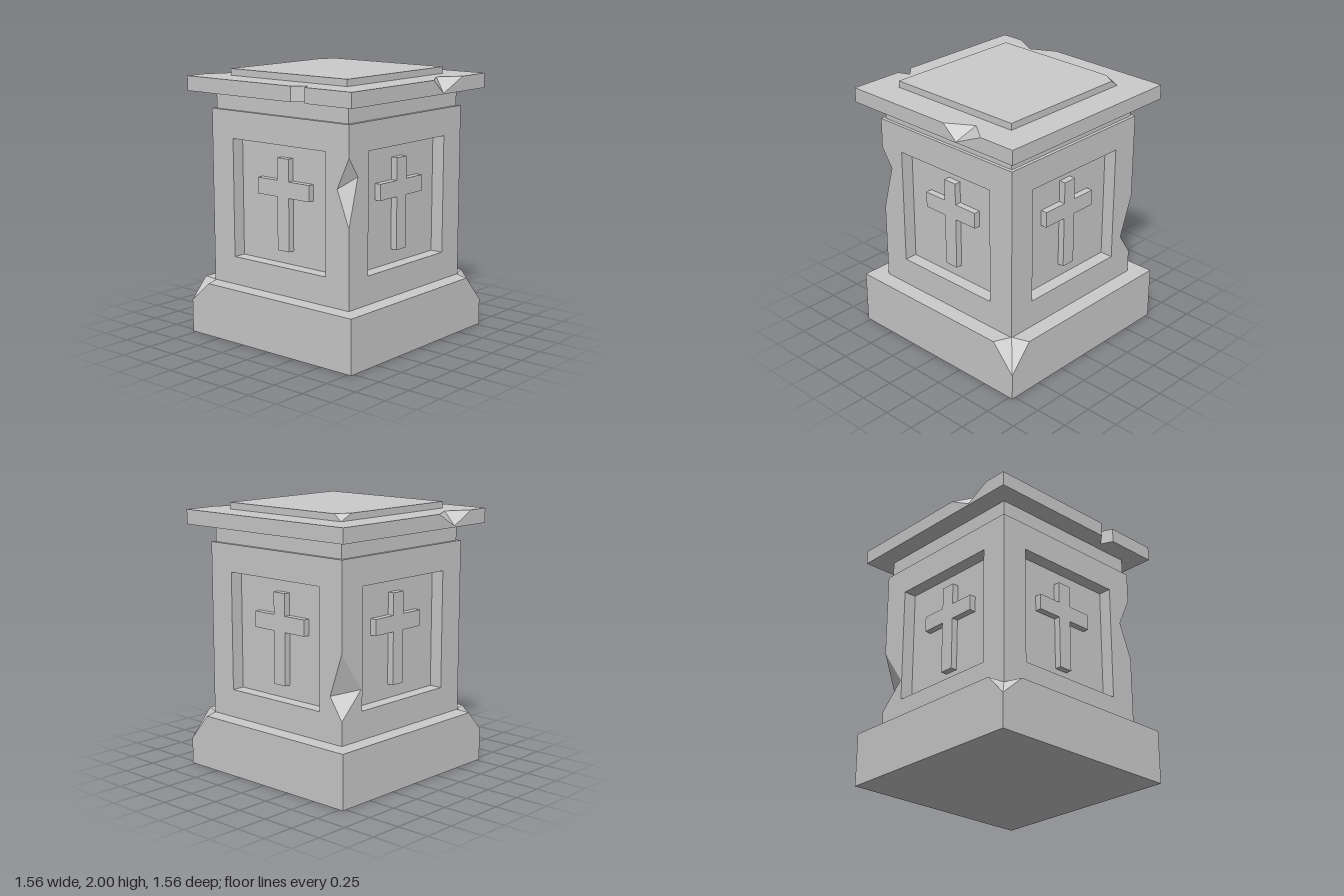
import * as THREE from 'three';
import { mergeGeometries } from 'three/addons/utils/BufferGeometryUtils.js';

const material = new THREE.MeshStandardMaterial({ color: 0xcccccc, flatShading: true });

const points2D = (list) => list.map(([x, y]) => new THREE.Vector2(x, y));
const rect = (x0, y0, x1, y1) => [[x0, y0], [x1, y0], [x1, y1], [x0, y1]];

// Flat polygon in the xy plane, facing +z, pushed out by the given distance
function plate(outline, distance, hole) {
  const shape = new THREE.Shape(points2D(outline));
  if (hole) shape.holes.push(new THREE.Path(points2D(hole)));
  return new THREE.ShapeGeometry(shape).translate(0, 0, distance);
}

// Broken surface: triangles turned to face the point that was knocked off
function chip(removed, triangles) {
  const target = new THREE.Vector3(...removed);
  const corners = triangles.flatMap((points) => {
    const [a, b, c] = points.map((p) => new THREE.Vector3(...p));
    const normal = b.clone().sub(a).cross(c.clone().sub(a));
    return normal.dot(target.clone().sub(a)) > 0 ? [a, b, c] : [a, c, b];
  });
  const geometry = new THREE.BufferGeometry().setFromPoints(corners);
  geometry.computeVertexNormals();
  return geometry;
}

// Chip with ends a and b, and a ridge from c to d
const ridgeChip = (removed, a, b, c, d) => chip(removed, [[a, c, d], [c, b, d]]);

// Square block with half width r. Sides run front, right, back, left; each is a
// list of outlines in (distance along the side, y). Top and bottom use (x, -z), (x, z).
function block(name, r, y0, y1, { sides = [], top, bottom, chips = [], hole } = {}) {
  const square = rect(-r, -r, r, r);
  const parts = [
    plate(top || square, y1).rotateX(-Math.PI / 2),
    plate(bottom || square, -y0).rotateX(Math.PI / 2),
    ...chips,
  ];
  for (let k = 0; k < 4; k++) {
    for (const outline of sides[k] || [rect(-r, y0, r, y1)]) {
      parts.push(plate(outline, r, hole).rotateY(k * Math.PI / 2));
    }
  }
  // the bottom plate faces down at y0
  const flat = parts.map((g) => {
    const geometry = g.index ? g.toNonIndexed() : g;
    geometry.deleteAttribute('uv');
    return geometry;
  });
  const mesh = new THREE.Mesh(mergeGeometries(flat), material);
  mesh.name = name;
  return mesh;
}

function createBase() {
  const r = 0.78, t = 0.405;
  return block('base', r, 0, t, {
    sides: [
      [[[-r, 0], [r, 0], [r, 0.2], [0.595, t], [-r, t]]],
      [[[-r, 0], [r, 0], [r, t], [-0.605, t], [-r, 0.2]]],
      [[[-r, 0], [r, 0], [r, 0.25], [0.635, t], [-r, t]]],
      [[[-r, 0], [r, 0], [r, t], [-0.605, t], [-r, 0.25]]],
    ],
    top: [[-r, -r], [0.595, -r], [0.65, -0.65], [r, -0.605],
      [r, r], [-0.635, r], [-0.65, 0.65], [-r, 0.605]],
    chips: [
      ridgeChip([r, t, r], [0.595, t, r], [r, t, 0.605], [r, 0.2, r], [0.65, t, 0.65]),
      ridgeChip([-r, t, -r], [-0.635, t, -r], [-r, t, -0.605], [-r, 0.25, -r], [-0.65, t, -0.65]),
    ],
  });
}

const BODY = 0.655, PANEL = 0.444, PANEL_Y = 1.06, DEPTH = 0.1;

function createBody() {
  const r = BODY, b = 0.405, t = 1.71;
  return block('body', r, b, t, {
    hole: rect(-PANEL, PANEL_Y - PANEL, PANEL, PANEL_Y + PANEL),
    sides: [
      [[[-r, b], [r, b], [r, t], [-r, t], [-r, 1.48], [-0.56, 1.34], [-r, 0.99]]],
      [[[-r, b], [r, b], [r, 0.58], [0.545, 0.745], [r, 1.06], [r, t], [-r, t]]],
      [[[-r, b], [r, b], [r, t], [-r, t], [-r, 1.06], [-0.455, 0.775], [-r, 0.58]]],
      [[[-r, b], [r, b], [r, 0.99], [0.55, 1.255], [r, 1.48], [r, t], [-r, t]]],
    ],
    chips: [
      ridgeChip([-r, 1.25, r], [-r, 1.48, r], [-r, 0.99, r], [-r, 1.255, 0.55], [-0.56, 1.34, r]),
      ridgeChip([r, 0.8, -r], [r, 1.06, -r], [r, 0.58, -r], [0.455, 0.775, -r], [r, 0.745, -0.545]),
    ],
  });
}

function createCornice() {
  const r = 0.78, b = 1.84, t = 1.95;
  const notch = [[-r, 0.24], [-0.69, 0.325], [-r, 0.365]]; // x, z of the notch cut right through
  const walls = [0, 1].flatMap((i) => {
    const [[x0, z0], [x1, z1]] = [notch[i], notch[i + 1]];
    return [[[x0, b, z0], [x1, b, z1], [x1, t, z1]], [[x0, b, z0], [x1, t, z1], [x0, t, z0]]];
  });
  return block('cornice', r, b, t, {
    sides: [
      [[[-r, b], [r, b], [r, t], [0.49, t], [0.255, 1.845], [0.135, t], [-r, t]]],
      null,
      [[[-r, b], [r, b], [r, t], [0.6, t], [0.41, 1.85], [0.23, t], [-r, t]]],
      [rect(-r, b, 0.24, t), rect(0.365, b, r, t)],
    ],
    top: [[-r, -r], [0.135, -r], [0.33, -0.66], [0.49, -r], [r, -r], [r, r],
      [-0.23, r], [-0.42, 0.68], [-0.6, r], [-r, r], ...notch.map(([x, z]) => [x, -z])],
    bottom: [[-r, -r], [r, -r], [r, r], [-r, r], ...[...notch].reverse()],
    chips: [
      ridgeChip([0.3, t, r], [0.135, t, r], [0.49, t, r], [0.255, 1.845, r], [0.33, t, 0.66]),
      ridgeChip([-0.41, t, -r], [-0.6, t, -r], [-0.23, t, -r], [-0.41, 1.85, -r], [-0.42, t, -0.68]),
      chip([-r, 1.9, 0.3], walls),
    ],
  });
}

function createCap() {
  const r = 0.555, b = 1.95, t = 2;
  return block('cap', r, b, t, {
    sides: [
      null,
      [[[-r, b], [r, b], [0.49, t], [-r, t]]],
      [[[-r, b], [r, b], [r, t], [-0.45, t]]],
      null,
    ],
    top: [[-r, -r], [r, -r], [r, 0.49], [0.45, r], [-r, r]],
    chips: [chip([r, t, -r], [[[0.45, t, -r], [r, t, -0.49], [r, b, -r]]])],
  });
}

// Sunken panel: back plate and four inner walls, with a raised cross
function createPanel() {
  const group = new THREE.Group();
  group.name = 'panel';
  const parts = [new THREE.PlaneGeometry(2 * PANEL, 2 * PANEL).translate(0, 0, -DEPTH)];
  for (let i = 0; i < 4; i++) {
    parts.push(new THREE.PlaneGeometry(2 * PANEL, DEPTH).rotateX(-Math.PI / 2)
      .translate(0, -PANEL, -DEPTH / 2).rotateZ(i * Math.PI / 2));
  }
  const recess = new THREE.Mesh(mergeGeometries(parts), material);
  recess.name = 'panelRecess';
  recess.position.set(0, PANEL_Y, BODY);

  const w = 0.055, a = 0.247;
  const half = [[w, 0.72], [w, 1.115], [a, 1.115], [a, 1.235], [w, 1.235], [w, 1.4]];
  const mirrored = half.map(([x, y]) => [-x, y]).reverse();
  const shape = new THREE.Shape(points2D([...half, ...mirrored]));
  const cross = new THREE.Mesh(
    new THREE.ExtrudeGeometry(shape, { depth: 0.05, bevelEnabled: false }), material);
  cross.name = 'cross';
  cross.position.z = BODY - DEPTH;
  group.add(recess, cross);
  return group;
}

export function createModel() {
  const model = new THREE.Group();
  model.name = 'stonePedestal';
  model.add(createBase(), createBody(), block('neck', 0.63, 1.71, 1.84), createCornice(), createCap());
  for (let k = 0; k < 4; k++) {
    const panel = createPanel();
    panel.rotation.y = k * Math.PI / 2;
    model.add(panel);
  }
  return model;
}
